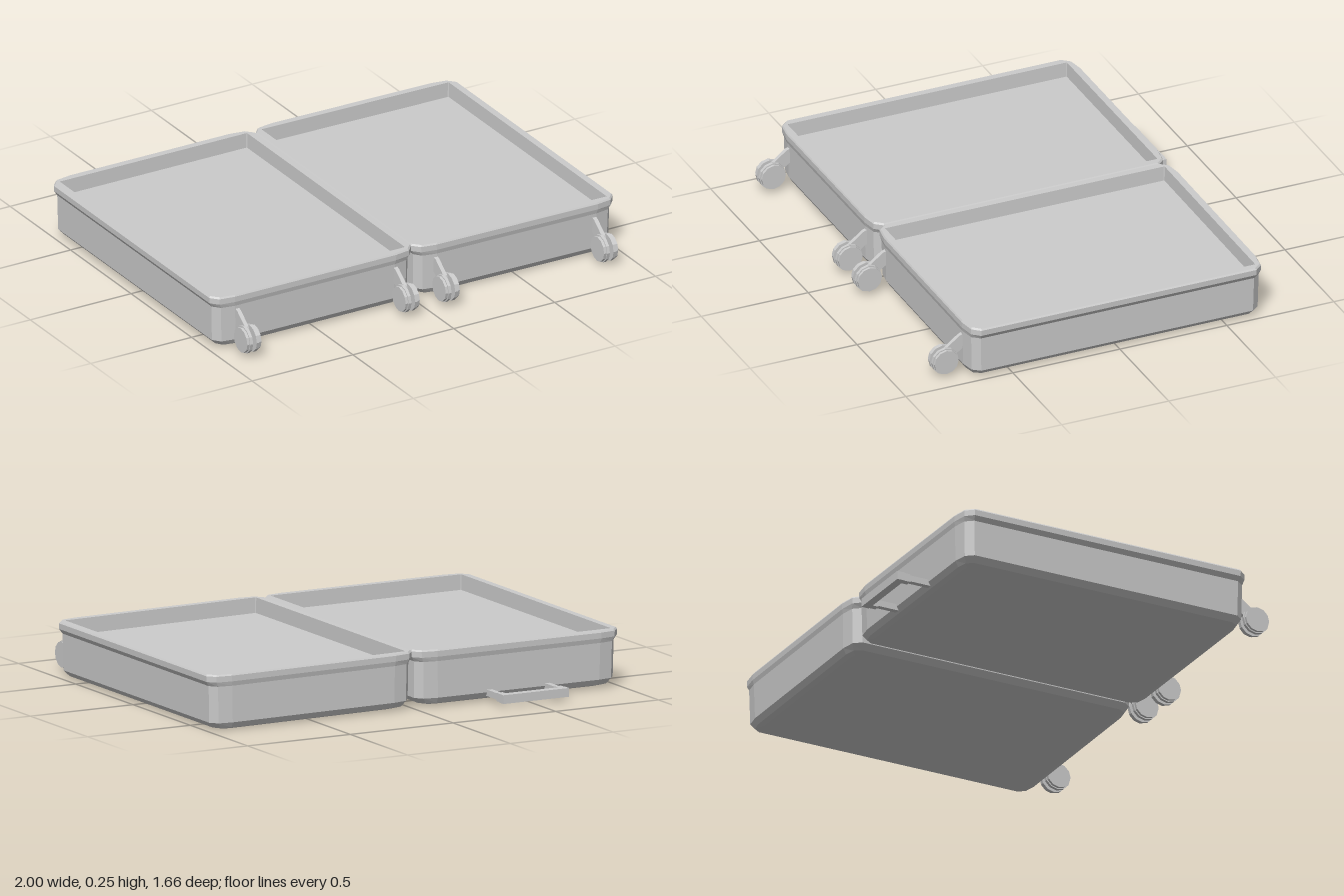
import * as THREE from 'three';

const material = new THREE.MeshStandardMaterial({ color: 0xcccccc, flatShading: true, side: THREE.DoubleSide });

function addMesh(parent, name, geometry, x = 0, y = 0, z = 0) {
  const mesh = new THREE.Mesh(geometry, material);
  mesh.name = name;
  mesh.position.set(x, y, z);
  parent.add(mesh);
  return mesh;
}

// Rectangle with two-step cut corners; cx and cz are the cut sizes
function ring(y, hx, hz, cx, cz) {
  const corner = [[hx, hz - cz], [hx - cx * 0.3, hz - cz * 0.25], [hx - cx, hz]];
  const flipped = [...corner].reverse();
  return [
    ...corner,
    ...flipped.map(([x, z]) => [-x, z]),
    ...corner.map(([x, z]) => [-x, -z]),
    ...flipped.map(([x, z]) => [x, -z]),
  ].map(([x, z]) => [x, y, z]);
}

// Skin a stack of rings, running from the bottom centre, over the rim, to the floor centre
function loft(rings) {
  const n = rings[0].length;
  const index = [];
  for (let j = 0; j < rings.length - 1; j++) {
    for (let i = 0; i < n; i++) {
      const k = (i + 1) % n;
      const a = j * n + i, b = j * n + k, c = b + n, d = a + n;
      index.push(a, d, c, a, c, b);
    }
  }
  const geometry = new THREE.BufferGeometry();
  geometry.setAttribute('position', new THREE.Float32BufferAttribute(rings.flat(2), 3));
  geometry.setIndex(index);
  geometry.computeVertexNormals();
  return geometry;
}

function shellGeometry() {
  return loft([
    ring(0.012, 0, 0, 0, 0),
    ring(0.012, 0.43, 0.64, 0.05, 0.03),
    ring(0.02, 0.46, 0.665, 0.07, 0.04),
    ring(0.045, 0.483, 0.68, 0.09, 0.045),
    ring(0.205, 0.486, 0.683, 0.09, 0.045),
    ring(0.225, 0.499, 0.688, 0.1, 0.045),
    ring(0.25, 0.5, 0.688, 0.1, 0.045),
    ring(0.257, 0.495, 0.684, 0.1, 0.045),
    ring(0.257, 0.464, 0.653, 0.004, 0.004),
    ring(0.19, 0.462, 0.651, 0.004, 0.004),
    ring(0.19, 0, 0, 0, 0),
  ]);
}

// Twin wheel on a slanted bracket
function caster(x) {
  const group = new THREE.Group();
  group.name = 'caster';
  const side = new THREE.Shape([
    [0.67, 0.195], [0.7, 0.185], [0.765, 0.135], [0.785, 0.085], [0.75, 0.075], [0.69, 0.12], [0.67, 0.125],
  ].map(([z, y]) => new THREE.Vector2(-z, y)));
  const bracket = new THREE.ExtrudeGeometry(side, { depth: 0.018, bevelEnabled: false });
  bracket.translate(0, 0, -0.009).rotateY(Math.PI / 2);
  addMesh(group, 'bracket', bracket);
  for (const s of [-1, 1]) {
    const wheel = new THREE.CylinderGeometry(0.061, 0.061, 0.014, 12).rotateZ(Math.PI / 2);
    addMesh(group, 'wheel', wheel, s * 0.016, 0.083, 0.772);
    const disc = new THREE.CylinderGeometry(0.056, 0.056, 0.013, 12).rotateZ(Math.PI / 2);
    addMesh(group, 'wheelCover', disc, s * 0.0285, 0.083, 0.772);
  }
  const axle = new THREE.CylinderGeometry(0.015, 0.015, 0.05, 8).rotateZ(Math.PI / 2);
  addMesh(group, 'axle', axle, 0, 0.083, 0.772);
  group.position.x = x;
  return group;
}

function half(name, s) {
  const group = new THREE.Group();
  group.name = name;
  addMesh(group, 'shell', shellGeometry(), s * 0.5, 0, 0.004);
  group.add(caster(s * 0.1), caster(s * 0.885));
  return group;
}

// Pull handle reaching out of the back end
function pullHandle() {
  const group = new THREE.Group();
  group.name = 'pullHandle';
  addMesh(group, 'grip', new THREE.BoxGeometry(0.32, 0.038, 0.036), 0, 0.041, -0.812);
  for (const s of [-1, 1]) {
    addMesh(group, 'arm', new THREE.BoxGeometry(0.024, 0.028, 0.17), s * 0.141, 0.042, -0.725);
    addMesh(group, 'armJoint', new THREE.BoxGeometry(0.03, 0.036, 0.034), s * 0.142, 0.041, -0.782);
  }
  group.position.x = -0.5;
  return group;
}

export function createModel() {
  const model = new THREE.Group();
  model.name = 'openSuitcase';

  const right = half('rightHalf', -1);
  right.add(pullHandle());
  model.add(right);

  // The other half sags slightly about the hinge line
  const left = half('leftHalf', 1);
  const hinge = new THREE.Group();
  hinge.name = 'leftHinge';
  left.position.y = -0.257;
  hinge.position.y = 0.257;
  hinge.rotation.z = -0.008;
  hinge.add(left);
  model.add(hinge);

  return model;
}
